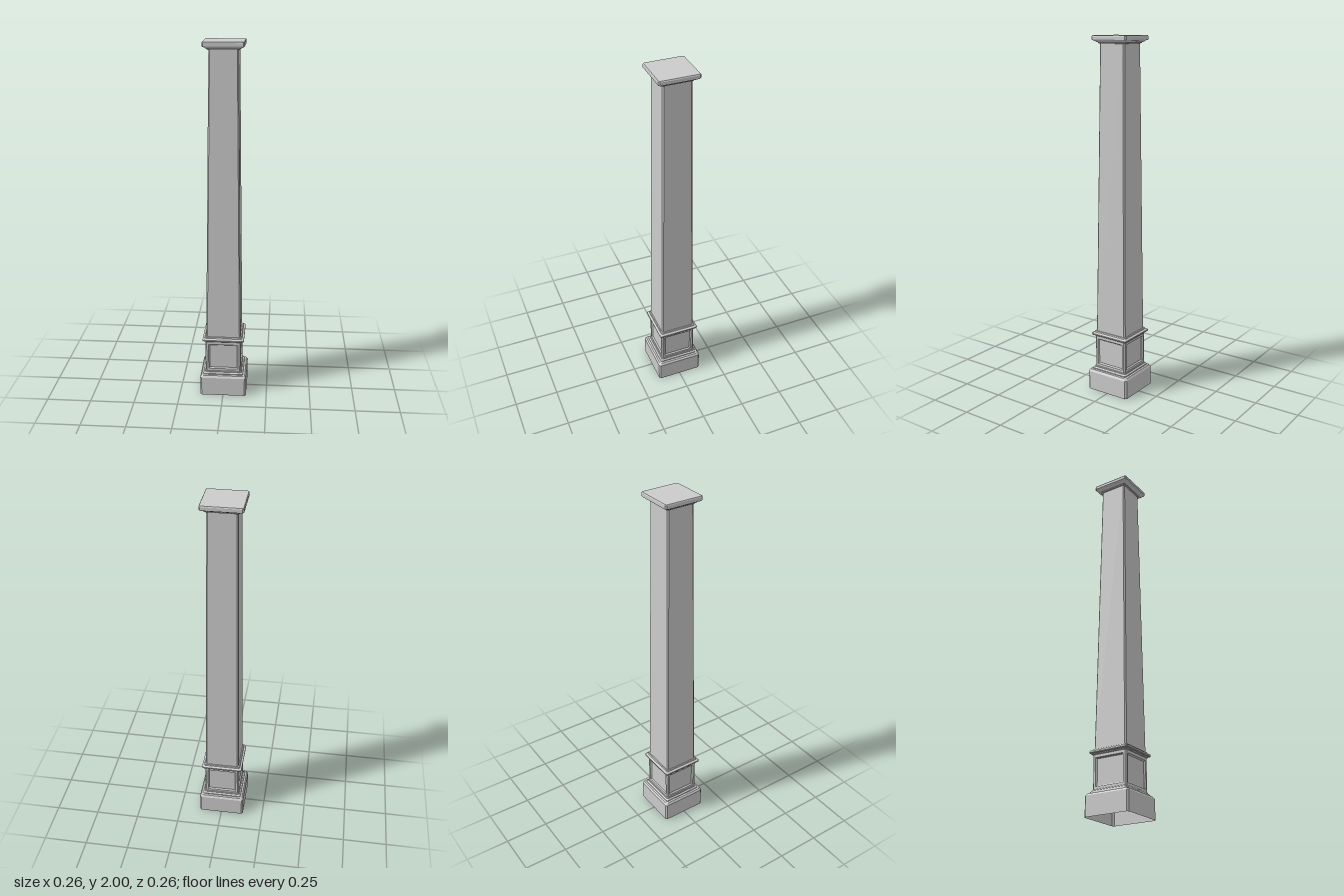
import * as THREE from 'three';

const material = new THREE.MeshStandardMaterial({ color: 0xcccccc, flatShading: true, side: THREE.DoubleSide });

// Skin a list of equal-length rings; optionally close the last ring.
function skin(name, rings, capped = false) {
  const pos = [];
  const tri = (...pts) => pts.forEach((p) => pos.push(...p));
  for (let i = 0; i < rings.length - 1; i++) {
    const a = rings[i], b = rings[i + 1], n = a.length;
    for (let j = 0; j < n; j++) {
      const k = (j + 1) % n;
      tri(a[j], a[k], b[k]);
      tri(a[j], b[k], b[j]);
    }
  }
  if (capped) {
    const r = rings[rings.length - 1];
    for (let j = 1; j < r.length - 1; j++) tri(r[0], r[j], r[j + 1]);
  }
  const geometry = new THREE.BufferGeometry();
  geometry.setAttribute('position', new THREE.Float32BufferAttribute(pos, 3));
  geometry.computeVertexNormals();
  const mesh = new THREE.Mesh(geometry, material);
  mesh.name = name;
  return mesh;
}

// Horizontal square of half width h with corners cut by c
function squareRing([h, y, c = 0.007]) {
  const d = h - c;
  return [[h, d], [h, -d], [d, -h], [-d, -h], [-h, -d], [-h, d], [-d, h], [d, h]].map(([x, z]) => [x, y, z]);
}

// Upright rectangle in the plane z
function panelRing([w, y0, y1, z]) {
  return [[-w, y0, z], [w, y0, z], [w, y1, z], [-w, y1, z]];
}

export function createModel() {
  const column = new THREE.Group();
  column.name = 'taperedColumn';

  const add = (name, profile, capped) => column.add(skin(name, profile.map(squareRing), capped));

  // Plinth, hollow and open underneath
  add('plinth', [[0.132, 0, 0.009], [0.132, 0.108, 0.009], [0.124, 0.12, 0.009], [0.114, 0.122]]);

  // Stepped moulding between plinth and pedestal
  add('baseMoulding', [[0.114, 0.122], [0.114, 0.127], [0.111, 0.131], [0.106, 0.134], [0.105, 0.139], [0.102, 0.141]]);

  // Four recessed panels; the outer ring wraps half of each corner chamfer
  const panels = new THREE.Group();
  panels.name = 'pedestalPanels';
  const faceRings = [
    [0.0985, 0.139, 0.325, 0.0985],
    [0.095, 0.139, 0.325, 0.102],
    [0.084, 0.155, 0.307, 0.102],
    [0.082, 0.157, 0.305, 0.097],
    [0.078, 0.161, 0.301, 0.094],
  ].map(panelRing);
  for (let i = 0; i < 4; i++) {
    const panel = skin('pedestalPanel', faceRings, true);
    panel.rotation.y = i * Math.PI / 2;
    panels.add(panel);
  }
  column.add(panels);

  // Rounded band on top of the pedestal
  add('pedestalBand', [
    [0.102, 0.322], [0.106, 0.324], [0.108, 0.329], [0.115, 0.33], [0.118, 0.334],
    [0.118, 0.34], [0.115, 0.344], [0.107, 0.347], [0.104, 0.353], [0.097, 0.354],
  ]);

  // Long tapering shaft
  add('shaft', [[0.098, 0.352], [0.078, 1.966]]);

  // Capital with a small moulding below the flat slab
  add('capital', [
    [0.078, 1.958], [0.085, 1.959], [0.086, 1.964], [0.094, 1.967], [0.1, 1.973],
    [0.107, 1.975], [0.11, 1.979], [0.11, 1.995], [0.107, 2],
  ], true);

  return column;
}
